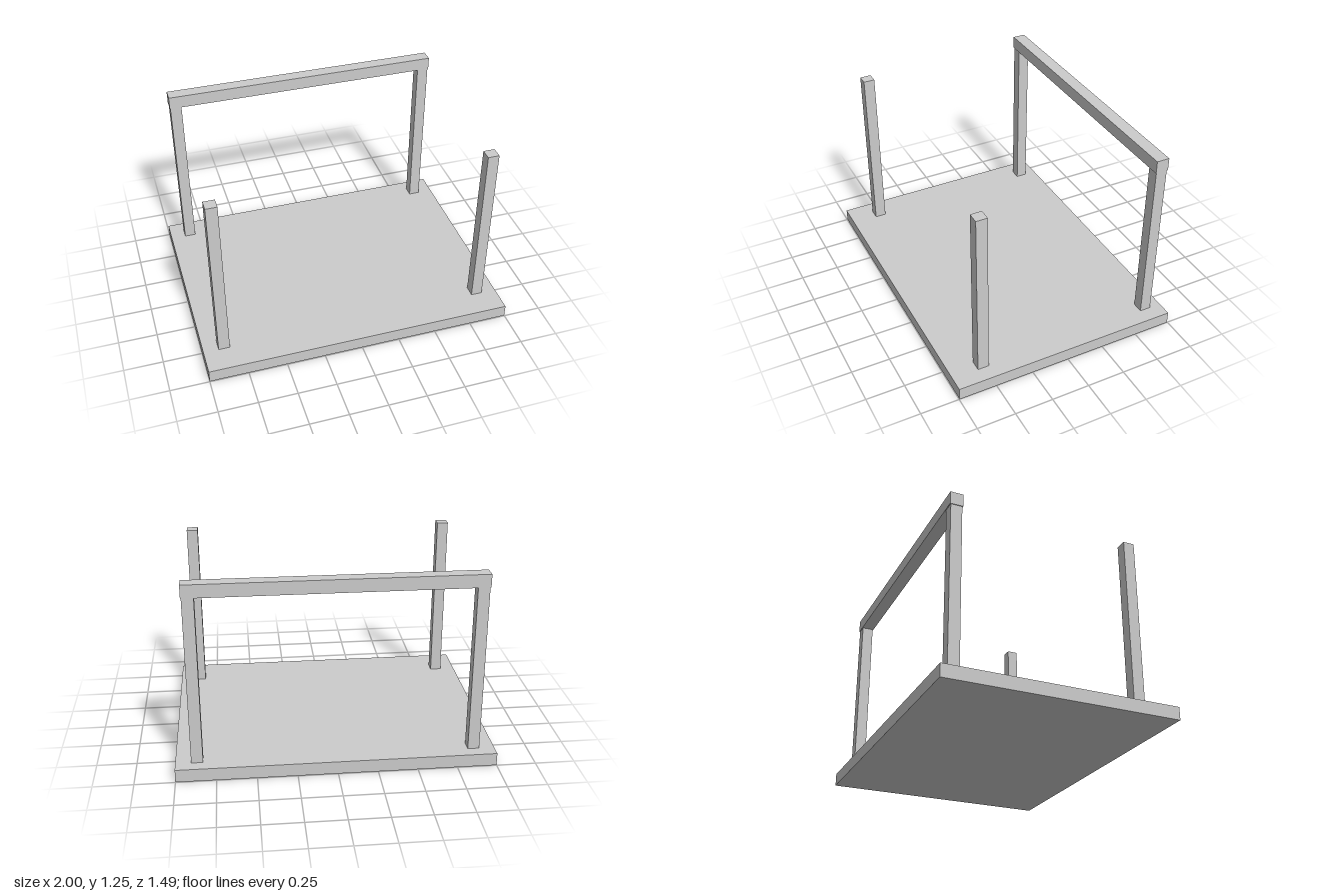
import * as THREE from 'three';

export function createModel() {
  const group = new THREE.Group();
  const material = new THREE.MeshStandardMaterial({ color: 0xcccccc, flatShading: true });

  // Box standing on height y, centred on x and z
  const addBox = (name, w, h, d, x, y, z) => {
    const mesh = new THREE.Mesh(new THREE.BoxGeometry(w, h, d), material);
    mesh.name = name;
    mesh.position.set(x, y + h / 2, z);
    group.add(mesh);
  };

  const baseHeight = 0.083;
  const postTop = 1.208;

  // Floor slab
  addBox('base', 2, baseHeight, 1.494, 0, 0, 0);

  // Four corner posts
  for (const [side, x] of [['Left', 0.866], ['Right', -0.866]]) {
    addBox('frontPost' + side, 0.073, postTop - baseHeight, 0.073, x, baseHeight, 0.541);
    addBox('backPost' + side, 0.073, postTop - baseHeight, 0.073, x, baseHeight, -0.633);
  }

  // Beam capping the back posts
  addBox('backBeam', 1.813, 0.083, 0.083, 0, 1.167, -0.633);

  return group;
}
